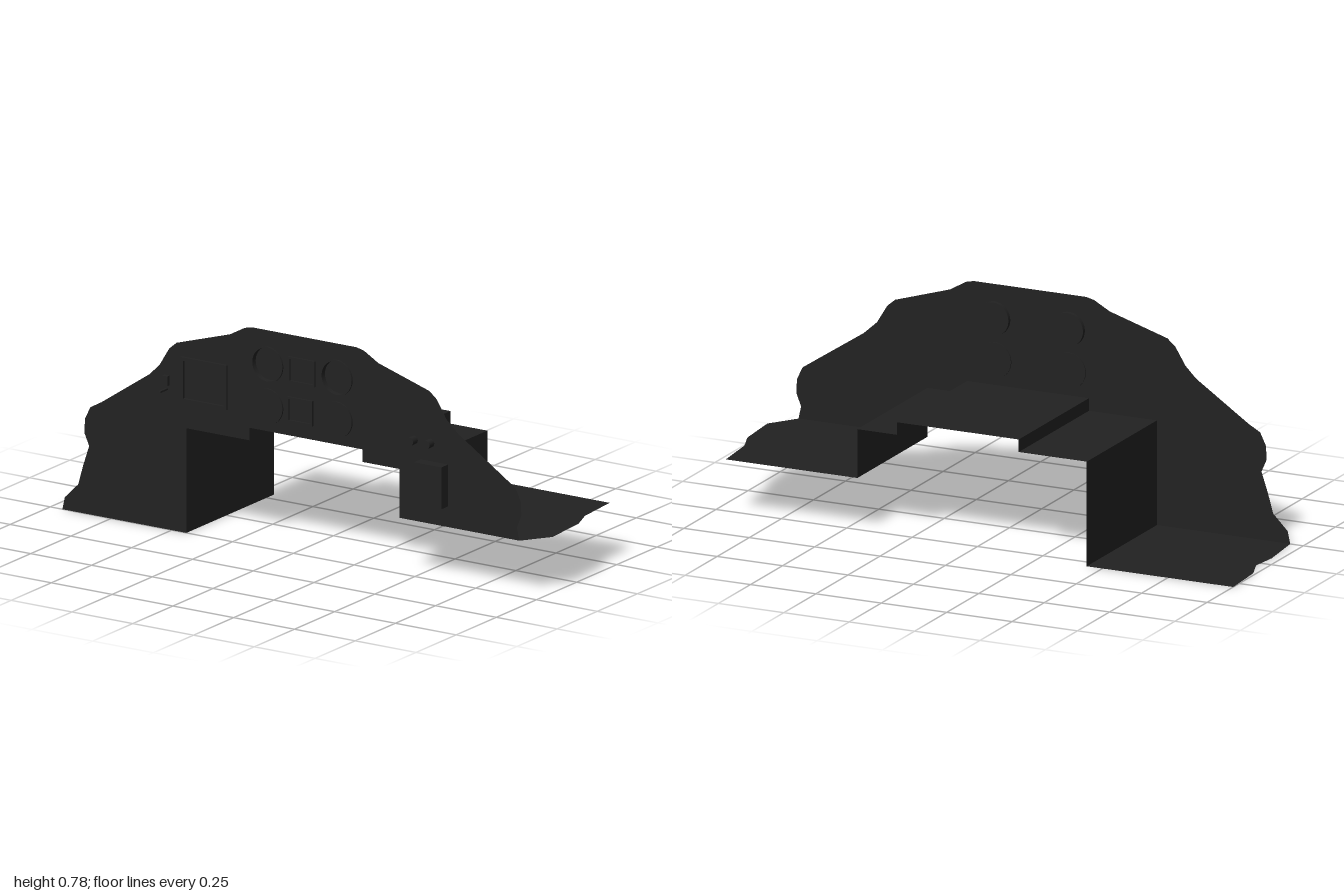
import * as THREE from 'three';

const FRONT = 0.25, BACK = -0.296;

export function createModel() {
  const group = new THREE.Group();
  const black = new THREE.MeshStandardMaterial({ color: 0x222222, side: THREE.DoubleSide });
  black.name = 'matte black';

  const add = (name, geometry, x = 0, y = 0, z = 0) => {
    const mesh = new THREE.Mesh(geometry, black);
    mesh.name = name;
    mesh.position.set(x, y, z);
    group.add(mesh);
    return mesh;
  };
  const vectors = (list) => list.map(([x, y]) => new THREE.Vector2(x, y));
  const circlePath = (x, y, r) => new THREE.Path().absarc(x, y, r, 0, Math.PI * 2, true);
  const rectPoints = (w, h) => vectors([[-w / 2, -h / 2], [w / 2, -h / 2], [w / 2, h / 2], [-w / 2, h / 2]]);

  // Stepped lower edge, shared by the panel and the sheet behind it
  const steps = [[-0.44, 0], [-0.44, 0.375], [-0.18, 0.375], [-0.18, 0.42],
    [0.285, 0.42], [0.285, 0.375], [0.437, 0.375], [0.437, 0.2]];

  // Upper outline, from lower right round to lower left
  const outline = [[0.93, 0.2], [0.92, 0.245], [0.938, 0.29], [0.936, 0.34], [0.915, 0.385],
    [0.87, 0.415], [0.68, 0.54], [0.63, 0.585], [0.59, 0.65], [0.56, 0.675], [0.35, 0.74],
    [0.29, 0.775], [0.26, 0.782], [-0.17, 0.782], [-0.2, 0.775], [-0.26, 0.742], [-0.48, 0.675],
    [-0.51, 0.65], [-0.55, 0.585], [-0.59, 0.545], [-0.79, 0.41], [-0.835, 0.385],
    [-0.857, 0.34], [-0.86, 0.29], [-0.84, 0.245], [-0.865, 0.17], [-0.885, 0.1],
    [-0.94, 0.045], [-0.95, 0]];

  // Flat instrument panel with openings for the upper gauges
  const panel = new THREE.Shape(vectors([...steps, ...outline]));
  const gaugeXs = [-0.105, 0.18];
  gaugeXs.forEach((x) => panel.holes.push(circlePath(x, 0.66, 0.06)));
  add('instrumentPanel', new THREE.ShapeGeometry(panel, 32), 0, 0, FRONT);

  // Middle steps of the sheet running back from the panel
  for (let i = 0; i < steps.length - 1; i++) {
    const [x0, y0] = steps[i], [x1, y1] = steps[i + 1];
    const g = new THREE.PlaneGeometry(Math.hypot(x1 - x0, y1 - y0), FRONT - BACK);
    g.rotateX(-Math.PI / 2);
    g.rotateZ(Math.atan2(y1 - y0, x1 - x0));
    add('steppedSheet', g, (x0 + x1) / 2, (y0 + y1) / 2, (FRONT + BACK) / 2);
  }

  // Side shelves with irregular outer edges, drawn as x, z
  const shelf = (name, y, points) => {
    const g = new THREE.ShapeGeometry(new THREE.Shape(vectors(points.map(([x, z]) => [x, -z]))));
    add(name, g.rotateX(-Math.PI / 2), 0, y, 0);
  };
  shelf('rightShelf', 0, [[-0.44, BACK], [-0.44, FRONT], [-0.95, FRONT], [-0.968, 0.07],
    [-0.957, -0.03], [-0.99, -0.12], [-1, BACK]]);
  shelf('leftShelf', 0.2, [[0.437, FRONT], [0.437, BACK], [0.94, BACK], [0.955, -0.12],
    [0.988, -0.03], [1, 0.15], [0.93, FRONT]]);

  // Raised frames
  const frame = (name, x, y, w, h, border, depth) => {
    const shape = new THREE.Shape(rectPoints(w, h));
    shape.holes.push(new THREE.Path(rectPoints(w - border * 2, h - border * 2)));
    add(name, new THREE.ExtrudeGeometry(shape, { depth, bevelEnabled: false }), x, y, FRONT);
  };
  frame('displayFrame', -0.365, 0.55, 0.19, 0.16, 0.012, 0.009);
  frame('upperScreenFrame', 0.037, 0.658, 0.11, 0.092, 0.007, 0.007);
  frame('lowerScreenFrame', 0.03, 0.515, 0.104, 0.09, 0.007, 0.007);

  const cylinder = (name, r, depth, x, y, z, open = false, sides = 32) =>
    add(name, new THREE.CylinderGeometry(r, r, depth, sides, 1, open).rotateX(Math.PI / 2), x, y, z);

  // Recessed upper gauges and shallow lower gauges
  gaugeXs.forEach((x) => {
    cylinder('gaugeCup', 0.06, 0.021, x, 0.66, 0.2455, true);
    add('gaugeFace', new THREE.CircleGeometry(0.06, 32), x, 0.66, 0.235);
    const ring = new THREE.Shape().absarc(0, 0, 0.064, 0, Math.PI * 2, false);
    ring.holes.push(circlePath(0, 0, 0.06));
    add('gaugeRim', new THREE.ExtrudeGeometry(ring, { depth: 0.006, bevelEnabled: false, curveSegments: 16 }), x, 0.66, FRONT);
    cylinder('lowerGauge', 0.064, 0.01, x, 0.51, 0.251);
  });

  // Knobs and control box on the left half
  [0.497, 0.565].forEach((x) => cylinder('knob', 0.015, 0.03, x, 0.49, 0.265, false, 16));
  add('controlBox', new THREE.BoxGeometry(0.112, 0.15, 0.04), 0.58, 0.349, 0.27);

  // Lever on the right half
  add('leverPlate', new THREE.BoxGeometry(0.022, 0.035, 0.014), -0.52, 0.535, 0.257);
  add('leverArm', new THREE.BoxGeometry(0.008, 0.006, 0.047), -0.52, 0.503, 0.2735);

  return group;
}
